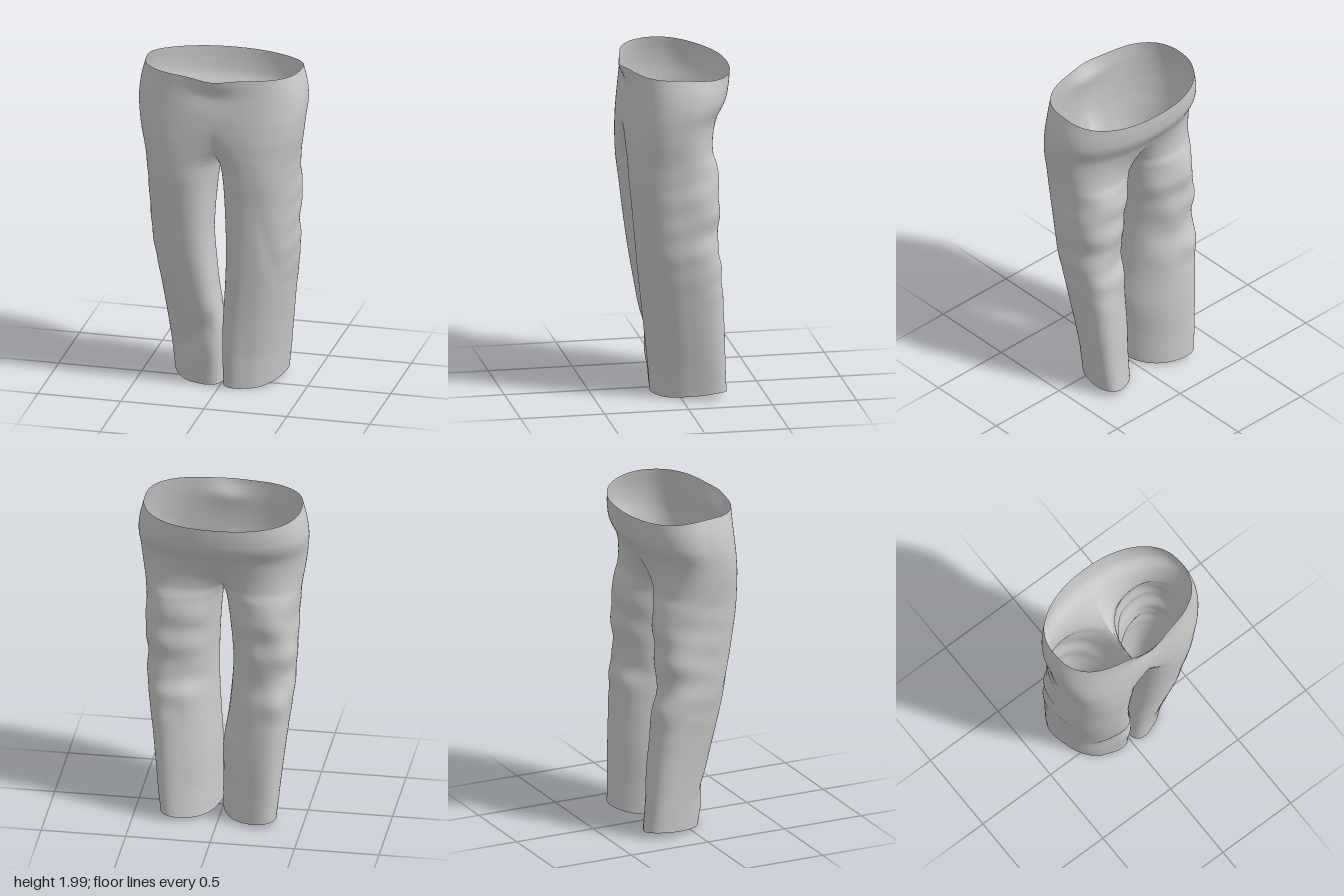
import * as THREE from 'three';
import { mergeVertices } from 'three/addons/utils/BufferGeometryUtils.js';

const CROTCH = 1.43;
const COLS = 88;

// Profile stations: height, outer x, inner x (left leg), inner x (right leg), front z, back z
const STATIONS = [
  [0.00, 0.343, 0.012, -0.008, 0.150, -0.290],
  [0.20, 0.360, 0.012, -0.008, 0.166, -0.280],
  [0.40, 0.380, 0.016, -0.010, 0.190, -0.270],
  [0.60, 0.402, 0.030, 0.020, 0.215, -0.255],
  [0.80, 0.428, 0.040, 0.040, 0.240, -0.240],
  [0.90, 0.436, 0.041, 0.046, 0.250, -0.214],
  [1.00, 0.440, 0.040, 0.048, 0.260, -0.215],
  [1.20, 0.447, 0.031, 0.035, 0.280, -0.223],
  [1.35, 0.452, 0.018, 0.018, 0.296, -0.220],
  [CROTCH, 0.456, 0.000, 0.000, 0.300, -0.208],
  [1.50, 0.464, -0.045, -0.045, 0.303, -0.190],
  [1.60, 0.480, -0.170, -0.170, 0.305, -0.198],
  [1.70, 0.492, -0.370, -0.370, 0.304, -0.235],
  [1.80, 0.500, -0.500, -0.500, 0.300, -0.295],
  [1.90, 0.490, -0.490, -0.490, 0.292, -0.315],
  [2.00, 0.465, -0.465, -0.465, 0.290, -0.325],
];

const step = THREE.MathUtils.smoothstep;
const lerp = THREE.MathUtils.lerp;
const gauss = (d, w) => Math.exp(-(d * d) / (w * w));
const signedPow = (v, p) => Math.sign(v) * Math.pow(Math.abs(v), p);

// Smooth curve through one column of the stations
function profile(y, col) {
  const S = STATIONS;
  let i = 0;
  while (i < S.length - 2 && y >= S[i + 1][0]) i++;
  const slope = (k) => {
    const a = S[Math.max(k - 1, 0)], b = S[Math.min(k + 1, S.length - 1)];
    return (b[col] - a[col]) / (b[0] - a[0]);
  };
  const h = S[i + 1][0] - S[i][0], t = (y - S[i][0]) / h, t2 = t * t, t3 = t2 * t;
  return (2 * t3 - 3 * t2 + 1) * S[i][col] + (t3 - 2 * t2 + t) * h * slope(i)
    + (3 * t2 - 2 * t3) * S[i + 1][col] + (t3 - t2) * h * slope(i + 1);
}

// Diagonal lean of the leg section, from inner front to outer back
function lean(y) {
  return y < CROTCH ? lerp(0.58, 0.12, Math.max(0, y - 0.2) / (CROTCH - 0.2)) : 0.12 * (1 - step(y, CROTCH, 1.75));
}

// Cloth folds: outward offset at a point of one leg (x is measured outward)
function folds(side, x, y, z, s) {
  const env = step(y, 0.5, 0.85) * (1 - step(y, 1.25, 1.55)) * step(Math.abs(x), 0.02, 0.14);
  const back = step(-s, -0.1, 0.7), front = step(s, 0.1, 0.7);
  const phase = side > 0 ? 0 : 1.7;
  let d = 0.005 * back * Math.sin(17 * y - 19 * x + phase + 2 * Math.sin(7 * x + 4 * y));
  d += 0.003 * back * Math.sin(13 * y + 25 * x + phase);
  d += 0.002 * (1 - front) * Math.sin(36 * y + 9 * z + phase);
  // long diagonal crease down the outer thigh
  d -= 0.008 * front * gauss(x - 0.30 - 0.16 * (1.0 - y), 0.04) * gauss(y - 0.9, 0.28);
  d *= env;
  // slumped fold above the right ankle
  if (side < 0) {
    const line = y - (0.38 - 0.75 * x);
    const across = front * step(x, -0.02, 0.06) * (1 - step(x, 0.2, 0.32));
    d += across * (0.008 * gauss(line + 0.11, 0.08) - 0.018 * gauss(line - 0.05, 0.08));
  }
  return d;
}

// One point of a leg section; above the crotch the section is cut at the centre line
function point(side, y, u) {
  const xo = profile(y, 1), xi = profile(y, side > 0 ? 2 : 3);
  const joined = y > CROTCH + 1e-6;
  const cx = Math.max(0, (xo + xi) / 2), rx = xo - cx;
  // the right leg hangs a little further back than the left
  const taper = 1 - step(y, 0, 1.35);
  const zf = profile(y, 4) - (side < 0 ? 0.022 * taper : 0);
  const zb = profile(y, 5) + (side > 0 ? 0.022 * taper : 0);
  const zc = (zf + zb) / 2, rz = (zf - zb) / 2;
  // squareness: boxier hips, rounder legs
  const hip = step(y, 1.45, 1.8);
  const pFront = lerp(0.86, 0.76, hip), pBack = lerp(0.9, 0.92, hip);
  const px = u > 0 ? pFront : pBack;
  const limit = joined ? Math.acos(-Math.pow(Math.min(1, cx / rx), 1 / px)) : Math.PI;
  const a = u * limit, c = Math.cos(a), s = Math.sin(a - lean(y));
  let x = cx + rx * signedPow(c, px);
  let z = zc + rz * signedPow(s, s > 0 ? pFront : pBack);
  if (joined && Math.abs(u) === 1) x = 0;
  const d = folds(side, x, y, z, s);
  x += d * c;
  z += d * s;
  // front waist: lip at the edge with a shallow dip below it
  if (u > 0) z += s * (0.030 * gauss(x, 0.11) * step(y, 1.88, 2) - 0.009 * gauss(x, 0.16) * gauss(y - 1.88, 0.09));
  // waist edge falls toward the back and the front centre
  const top = step(y, 1.75, 2);
  let py = y - top * (0.035 * step(-z, -0.05, 0.32) + (z > 0 ? 0.014 * gauss(x, 0.13) : 0));
  // wavy hem
  py += (1 - step(y, 0, 0.2)) * (0.006 + 0.030 * c * c * (c > 0 ? 1 : 0.35) + (s < 0 ? 0.022 * s * s : 0));
  return [side * x, py, z];
}

// Half of the garment as a grid of section loops
function addHalf(side, rows, positions, indices) {
  const base = positions.length / 3, n = COLS + 1;
  rows.forEach((y) => {
    for (let j = 0; j <= COLS; j++) positions.push(...point(side, y, (2 * j) / COLS - 1));
  });
  for (let i = 0; i < rows.length - 1; i++) {
    for (let j = 0; j < COLS; j++) {
      const a = base + i * n + j, b = a + 1, c = a + n, d = c + 1;
      if (side > 0) indices.push(a, c, b, b, c, d);
      else indices.push(a, b, c, b, d, c);
    }
  }
}

export function createModel() {
  const group = new THREE.Group();
  group.name = 'trousers';

  // Rows from hem to crotch, then to the waist, closer together at the crotch
  const rows = [];
  for (let i = 0; i < 80; i++) rows.push((CROTCH * i) / 80);
  for (let i = 0; i <= 44; i++) rows.push(CROTCH + (2 - CROTCH) * Math.pow(i / 44, 1.7));

  const positions = [], indices = [];
  for (const side of [1, -1]) addHalf(side, rows, positions, indices);

  let geometry = new THREE.BufferGeometry();
  geometry.setAttribute('position', new THREE.Float32BufferAttribute(positions, 3));
  geometry.setIndex(indices);
  geometry = mergeVertices(geometry, 1e-4); // joins the centre and inner leg seams
  geometry.computeVertexNormals();

  const cloth = new THREE.MeshStandardMaterial({ color: 0xcccccc, side: THREE.DoubleSide });
  const mesh = new THREE.Mesh(geometry, cloth);
  mesh.name = 'hipsAndLegs';
  group.add(mesh);
  return group;
}
